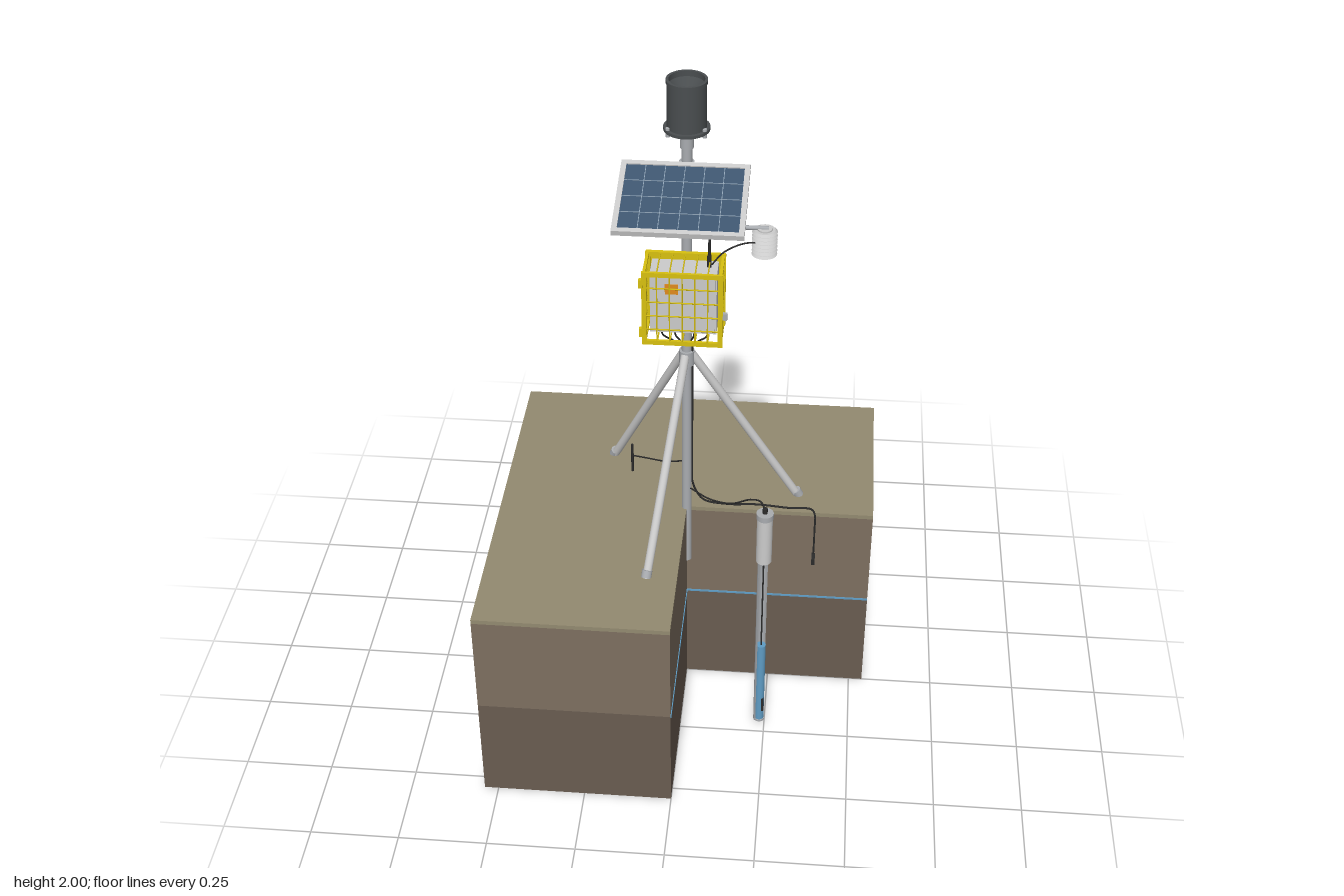
import * as THREE from 'three';

const mat = (color, double) => new THREE.MeshStandardMaterial({ color, side: double ? THREE.DoubleSide : THREE.FrontSide });
const M = {
  metal: mat(0xa9acb0), pale: mat(0xcccccc), dark: mat(0x4a4e50, true), black: mat(0x2b2b2b),
  yellow: mat(0xd8c010), cell: mat(0x3f5670), line: mat(0x8fa3b5), orange: mat(0xe08a1e),
  turf: mat(0x938a70), soil: mat(0x7d6f60), wetSoil: mat(0x695c50),
  water: mat(0x5f9cc4, true), casing: mat(0xa9acb0, true),
};
const V = (a) => new THREE.Vector3(...a);

export function createModel() {
  const root = new THREE.Group();

  const add = (name, geo, material, pos = [0, 0, 0], parent = root) => {
    const m = new THREE.Mesh(geo, material);
    m.name = name;
    m.position.set(...pos);
    parent.add(m);
    return m;
  };
  const box = (name, size, pos, material, parent) => add(name, new THREE.BoxGeometry(...size), material, pos, parent);
  // upright cylinder between two heights
  const post = (name, r, y0, y1, x, z, material, seg = 24) =>
    add(name, new THREE.CylinderGeometry(r, r, y1 - y0, seg), material, [x, (y0 + y1) / 2, z]);
  // straight round bar between two points
  const rod = (name, a, b, r, material, parent, seg = 12) => {
    const p = V(a), q = V(b), d = q.clone().sub(p);
    const m = add(name, new THREE.CylinderGeometry(r, r, d.length(), seg), material, p.clone().add(q).multiplyScalar(0.5).toArray(), parent);
    m.quaternion.setFromUnitVectors(new THREE.Vector3(0, 1, 0), d.normalize());
    return m;
  };
  const cable = (name, pts, r = 0.0025) =>
    add(name, new THREE.TubeGeometry(new THREE.CatmullRomCurve3(pts.map(V), false, 'centripetal'), pts.length * 8, r, 6), M.black);

  // Ground block with the front left quarter cut away
  const plan = new THREE.Shape([[-0.54, -0.54], [0, -0.54], [0, 0], [0.54, 0], [0.54, 0.54], [-0.54, 0.54]].map((p) => new THREE.Vector2(...p)));
  [['lowerSoil', 0, 0.325, M.wetSoil], ['upperSoil', 0.325, 0.63, M.soil], ['turf', 0.63, 0.643, M.turf]].forEach(([name, y0, y1, m]) => {
    const g = new THREE.ExtrudeGeometry(plan, { depth: y1 - y0, bevelEnabled: false });
    add(name, g.rotateX(-Math.PI / 2), m, [0, y0, 0]);
  });
  box('waterTable', [0.54, 0.006, 0.003], [0.27, 0.325, 0.001], M.water);
  box('waterTable', [0.003, 0.006, 0.54], [0.001, 0.325, 0.27], M.water);

  // Mast and tripod
  post('mast', 0.014, 0.45, 1.83, 0, 0, M.metal);
  post('mastTop', 0.018, 1.81, 1.86, 0, 0, M.metal);
  post('tripodCollar', 0.021, 1.145, 1.19, 0, 0, M.metal);
  [[-0.24, -0.24], [0.322, -0.086], [-0.086, 0.322]].forEach(([x, z]) => {
    const k = 0.012 / Math.hypot(x, z);
    rod('leg', [x * k, 1.18, z * k], [x, 0.635, z], 0.012, M.pale, root, 16);
    rod('foot', [x * 0.97, 0.66, z * 0.97], [x, 0.641, z], 0.0145, M.metal, root, 16);
  });

  // Rain gauge: outer drum, rim and inner funnel
  const drum = [[0, 1.862], [0.06, 1.862], [0.06, 1.87], [0.051, 1.87], [0.051, 1.99], [0.053, 1.99], [0.053, 2],
    [0.046, 2], [0.046, 1.985], [0.018, 1.945], [0.018, 1.935], [0, 1.935]];
  drum.slice(0, -1).forEach((p, i) => {
    const pair = [p, drum[i + 1]].map((q) => new THREE.Vector2(...q));
    add('rainGauge', new THREE.LatheGeometry(pair, 40), M.dark);
  });
  for (let i = 0; i < 3; i++) {
    const a = (i * 2 * Math.PI) / 3 + 0.5;
    post('gaugeFoot', 0.006, 1.852, 1.876, 0.054 * Math.cos(a), 0.054 * Math.sin(a), M.metal, 8);
  }

  // Solar panel, tilted toward the front
  const panel = new THREE.Group();
  panel.name = 'solarPanel';
  panel.position.set(0, 1.742, 0.151);
  panel.rotation.x = 0.23;
  root.add(panel);
  box('panelBack', [0.31, 0.006, 0.25], [0, -0.001, 0], M.pale, panel);
  box('panelCells', [0.302, 0.004, 0.236], [0, 0.003, 0], M.cell, panel);
  for (const s of [-1, 1]) {
    box('panelFrame', [0.33, 0.015, 0.014], [0, 0, s * 0.126], M.pale, panel);
    box('panelFrame', [0.014, 0.015, 0.24], [s * 0.158, 0, 0], M.pale, panel);
    box('panelRail', [0.012, 0.012, 0.24], [s * 0.09, -0.013, 0], M.metal, panel);
  }
  for (let i = 1; i < 6; i++) box('cellLine', [0.0018, 0.001, 0.236], [-0.151 + i * 0.0503, 0.0055, 0], M.line, panel);
  for (let i = 1; i < 4; i++) box('cellLine', [0.302, 0.001, 0.0018], [0, 0.0055, -0.118 + i * 0.059], M.line, panel);
  box('junctionBox', [0.05, 0.015, 0.04], [0, -0.011, -0.05], M.black, panel);
  // Panel brackets
  for (const s of [-1, 1]) {
    rod('panelStrut', [s * 0.01, 1.683, 0.01], [s * 0.09, 1.715, 0.2], 0.005, M.metal);
    rod('panelArm', [s * 0.01, 1.757, 0], [s * 0.09, 1.757, 0.045], 0.005, M.metal);
  }
  post('panelClamp', 0.02, 1.672, 1.695, 0, 0, M.metal);
  post('panelClamp', 0.02, 1.745, 1.77, 0, 0, M.metal);

  // Logger cabinet
  box('cabinet', [0.176, 0.18, 0.075], [0, 1.41, 0.078], M.pale);
  box('cabinetDoor', [0.168, 0.172, 0.006], [0, 1.41, 0.117], M.pale);
  box('warningPlate', [0.035, 0.03, 0.002], [-0.03, 1.457, 0.121], M.orange);
  box('backPlate', [0.21, 0.22, 0.006], [0, 1.41, 0.033], M.yellow);
  // Yellow guard cage
  for (const s of [-1, 1]) {
    for (const z of [0.038, 0.144]) {
      box('cageFrame', [0.013, 0.22, 0.008], [s * 0.1, 1.41, z], M.yellow);
      box('cageFrame', [0.21, 0.013, 0.008], [0, 1.41 + s * 0.104, z], M.yellow);
    }
    for (const t of [-1, 1]) box('cageFrame', [0.008, 0.008, 0.11], [s * 0.1, 1.41 + t * 0.105, 0.09], M.yellow);
    for (let i = 1; i < 5; i++) rod('sideBar', [s * 0.102, 1.305 + i * 0.042, 0.036], [s * 0.102, 1.305 + i * 0.042, 0.146], 0.002, M.yellow, root, 6);
    for (let i = 1; i < 3; i++) rod('sideBar', [s * 0.102, 1.305, 0.036 + i * 0.036], [s * 0.102, 1.515, 0.036 + i * 0.036], 0.002, M.yellow, root, 6);
    for (let i = 1; i < 6; i++) rod('capBar', [-0.1 + i * 0.0333, 1.41 + s * 0.106, 0.036], [-0.1 + i * 0.0333, 1.41 + s * 0.106, 0.146], 0.002, M.yellow, root, 6);
    box('hinge', [0.012, 0.025, 0.012], [-0.108, 1.41 + s * 0.075, 0.143], M.yellow);
    // Clamps holding the back plate to the mast
    box('mastClamp', [0.05, 0.018, 0.03], [0, 1.41 + s * 0.07, 0.018], M.metal);
    post('mastClamp', 0.019, 1.401 + s * 0.07, 1.419 + s * 0.07, 0, 0, M.metal);
  }
  for (let i = 1; i < 6; i++) rod('frontBar', [-0.1 + i * 0.0333, 1.305, 0.146], [-0.1 + i * 0.0333, 1.515, 0.146], 0.002, M.yellow, root, 6);
  for (let i = 1; i < 5; i++) rod('frontBar', [-0.1, 1.305 + i * 0.042, 0.146], [0.1, 1.305 + i * 0.042, 0.146], 0.002, M.yellow, root, 6);
  box('padlock', [0.012, 0.02, 0.01], [0.112, 1.395, 0.143], M.metal);

  // Antenna
  post('antenna', 0.0035, 1.5, 1.61, 0.065, 0.07, M.black, 8);
  post('antennaBase', 0.006, 1.5, 1.535, 0.065, 0.07, M.black, 10);

  // Sensor arm with louvred radiation shield
  rod('sensorArm', [0, 1.582, 0], [0.215, 1.582, 0], 0.006, M.metal);
  post('armClamp', 0.02, 1.568, 1.596, 0, 0, M.metal);
  post('shieldCore', 0.02, 1.505, 1.582, 0.205, 0, M.pale);
  for (let i = 0; i < 7; i++) add('shieldPlate', new THREE.CylinderGeometry(0.028, 0.034, 0.006, 28), M.pale, [0.205, 1.509 + i * 0.011, 0]);

  // Monitoring well: capped casing above, cut-open pipe below
  const wx = 0.235, wz = 0.224;
  post('wellCasing', 0.022, 0.643, 0.805, wx, wz, M.pale, 32);
  post('wellCap', 0.024, 0.795, 0.812, wx, wz, M.metal, 32);
  post('capGland', 0.007, 0.81, 0.828, wx, wz, M.black, 12);
  const half = (name, r, y0, y1, m) =>
    add(name, new THREE.CylinderGeometry(r, r, y1 - y0, 20, 1, true, Math.PI * 0.75, Math.PI), m, [wx, (y0 + y1) / 2, wz]);
  half('wellPipe', 0.017, 0.03, 0.643, M.casing);
  half('wellPipeInner', 0.0145, 0.03, 0.643, M.casing);
  post('wellFloor', 0.016, 0.03, 0.036, wx, wz, M.metal);
  post('wellWater', 0.0135, 0.036, 0.325, wx, wz, M.water);
  post('sensorCable', 0.0025, 0.32, 0.645, wx, wz, M.black, 6);
  post('levelSensor', 0.005, 0.07, 0.12, wx + 0.008, wz + 0.008, M.black, 10);

  // Grounding rod and wire
  post('groundRod', 0.004, 0.6, 0.74, -0.175, -0.157, M.black, 8);
  cable('groundWire', [[-0.175, 0.7, -0.157], [-0.13, 0.725, -0.115], [-0.06, 0.765, -0.05], [-0.008, 0.8, -0.012]]);

  // Cables to the well, the buried probe and the instruments
  cable('wellCable', [[0.012, 0.72, 0.012], [0.07, 0.73, 0.07], [0.135, 0.765, 0.13], [0.195, 0.83, 0.19], [0.222, 0.842, 0.213], [wx, 0.825, wz]]);
  cable('probeCable', [[0.012, 0.74, -0.012], [0.025, 0.69, -0.018], [0.05, 0.655, -0.02], [0.12, 0.647, -0.016], [0.2, 0.647, -0.021],
    [0.3, 0.647, -0.012], [0.36, 0.647, -0.012], [0.371, 0.643, 0.004], [0.373, 0.58, 0.006], [0.373, 0.49, 0.006]], 0.003);
  box('soilProbe', [0.01, 0.022, 0.03], [0.373, 0.485, 0.018], M.black);
  cable('mastCable', [[0.016, 1.22, 0.005], [0.016, 1.0, 0.005], [0.016, 0.74, 0.006]]);
  for (const x of [-0.06, -0.025, 0.025, 0.06])
    cable('cabinetCable', [[x, 1.32, 0.075], [x, 1.285, 0.07], [x * 0.6, 1.25, 0.045], [x * 0.2, 1.215, 0.016]]);
  cable('gaugeCable', [[0.01, 1.862, -0.045], [0, 1.845, -0.045], [0, 1.82, -0.028], [0, 1.79, -0.016], [0, 1.6, -0.016], [0, 1.25, -0.016]]);
  cable('panelCable', [[0, 1.745, 0.1], [0.01, 1.71, 0.075], [0.01, 1.705, 0.05], [0.012, 1.75, 0.04], [0.014, 1.74, 0.014]]);
  cable('shieldCable', [[0.2, 1.548, 0.015], [0.15, 1.55, 0.03], [0.1, 1.53, 0.045], [0.07, 1.5, 0.06]]);

  return root;
}
